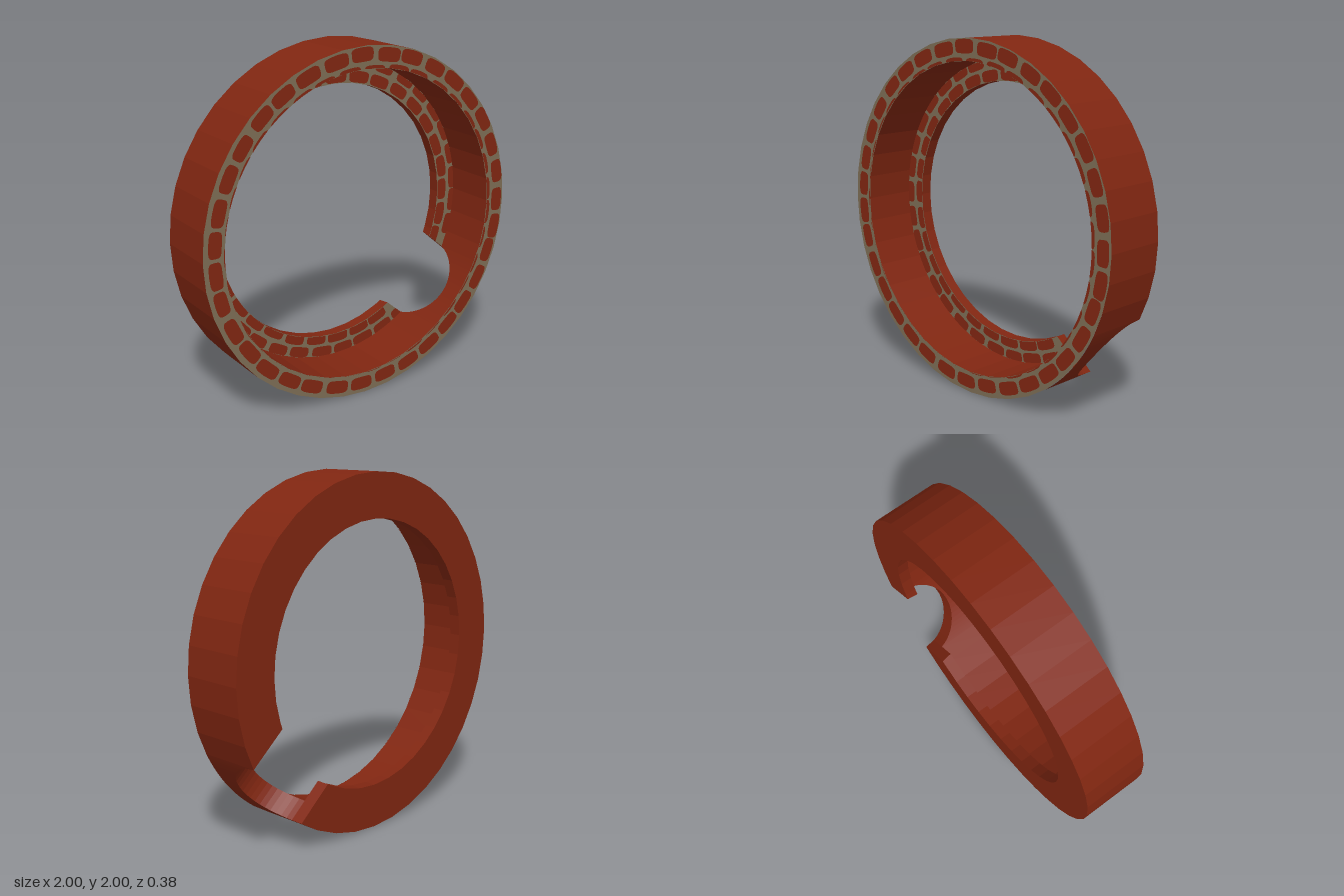
import * as THREE from 'three';
import { mergeGeometries } from 'three/addons/utils/BufferGeometryUtils.js';

const SIDES = 40, STEP = (Math.PI * 2) / SIDES;
const OUTER = 1, WALL = 0.877, LIP = 0.75;        // radii
const FRONT = 0.187, BACK = -0.187, LEDGE = -0.12; // depths
const BORE = 0.25, AXIS = THREE.MathUtils.degToRad(-40.5); // notch radius and direction
const LEDGE_PHI = Math.asin((LEDGE - BACK) / BORE);
const LEDGE_HALF = BORE * Math.cos(LEDGE_PHI);

const point = (r, theta, z) => [r * Math.cos(theta), 1 + r * Math.sin(theta), z];

// Angles around the notch arc, from one back edge to the other
const phis = [0];
for (let i = 0; i <= 20; i++) phis.push(LEDGE_PHI + ((Math.PI - 2 * LEDGE_PHI) * i) / 20);
phis.push(Math.PI);

// Point on the notch arc at radius r
const notchPoint = (r, phi) => point(r, AXIS + Math.asin((-BORE * Math.cos(phi)) / r), BACK + BORE * Math.sin(phi));

// Points around the plain part of the ring, clear of the notch
function plain(r, z) {
  const out = [];
  for (let k = -2; k <= 33; k++) out.push(point(r, k * STEP, z));
  return out;
}

// Closed loop that follows the notch; open loop that stops at its edges
const closedLoop = (r, z, list) => {
  const pts = [...plain(r, z), ...list.map((p) => notchPoint(r, p))];
  return [...pts, pts[0]];
};
const openLoop = (r, z, phi) => [notchPoint(r, Math.PI - phi), ...plain(r, z), notchPoint(r, phi)];
const atDepth = (pts, z) => pts.map((p) => [p[0], p[1], z]);

// Flat-sided strip of quads between two rows of points
function strip(a, b) {
  const pos = [];
  for (let i = 0; i < a.length - 1; i++) {
    pos.push(...a[i], ...a[i + 1], ...b[i + 1], ...a[i], ...b[i + 1], ...b[i]);
  }
  const g = new THREE.BufferGeometry();
  g.setAttribute('position', new THREE.Float32BufferAttribute(pos, 3));
  g.computeVertexNormals();
  return g;
}

function seeded(seed) {
  return () => {
    seed = (seed * 16807) % 2147483647;
    return seed / 2147483647;
  };
}

// One rounded brick face, bent around the ring and trimmed to a radial band
function brickFace(theta, halfAngle, rIn, rOut, min, max, z, notched) {
  const g = new THREE.CircleGeometry(1, 20);
  const p = g.attributes.position;
  const soften = (v) => Math.sign(v) * Math.pow(Math.abs(v), 0.5);
  const side = Math.sign(Math.sin(theta - AXIS));
  for (let i = 0; i < p.count; i++) {
    const t = theta - soften(p.getX(i)) * halfAngle;
    const rr = (rIn + rOut) / 2 + (soften(p.getY(i)) * (rOut - rIn)) / 2;
    // The courses sit very slightly off centre
    let x = rr * Math.cos(t) + 0.008, y = rr * Math.sin(t) + 0.008;
    const k = THREE.MathUtils.clamp(Math.hypot(x, y), min, max) / Math.hypot(x, y);
    x *= k;
    y *= k;
    // Keep ledge bricks out of the notch
    if (notched) {
      const u = x * Math.cos(AXIS) + y * Math.sin(AXIS);
      let v = y * Math.cos(AXIS) - x * Math.sin(AXIS);
      if (u > 0 && Math.abs(v) < LEDGE_HALF) v = side * LEDGE_HALF;
      x = u * Math.cos(AXIS) - v * Math.sin(AXIS);
      y = u * Math.sin(AXIS) + v * Math.cos(AXIS);
    }
    p.setXYZ(i, x, y + 1, z);
  }
  return g;
}

// Three courses of bricks: inner radius, outer radius, count
const COURSES = [[0.905, 0.982, 35], [0.825, 0.888, 35], [0.742, 0.808, 32]];

function bricks(min, max, z, notched) {
  const rand = seeded(77);
  const faces = [];
  COURSES.forEach(([rIn, rOut, count], row) => {
    for (let i = 0; i < count; i++) {
      const pitch = (Math.PI * 2) / count;
      const theta = (i + row * 0.5 + (rand() - 0.5) * 0.12) * pitch;
      const half = pitch * (0.41 + rand() * 0.05);
      const shift = (rand() - 0.5) * 0.008;
      const mid = (rIn + rOut) / 2;
      const inNotch = Math.cos(theta - AXIS) > 0 && Math.abs(mid * Math.sin(theta - AXIS)) < LEDGE_HALF;
      if ((notched && inNotch) || rOut + 0.015 < min || rIn - 0.015 > max) continue;
      faces.push(brickFace(theta, half, rIn + shift, rOut + shift, min, max, z, notched));
    }
  });
  return mergeGeometries(faces);
}

export function createModel() {
  const brick = new THREE.MeshStandardMaterial({ color: 0x802611 });
  brick.name = 'brick red';
  const mortar = new THREE.MeshStandardMaterial({ color: 0x7c6c54 });
  mortar.name = 'mortar grey';

  const model = new THREE.Group();
  model.name = 'notchedRing';
  const add = (name, geometry, material) => {
    const mesh = new THREE.Mesh(geometry, material);
    mesh.name = name;
    model.add(mesh);
  };

  const arc = phis.slice(1, -1);
  const outerLow = closedLoop(OUTER, BACK, phis);
  const wallLow = closedLoop(WALL, LEDGE, arc);
  const wallHigh = atDepth(wallLow, FRONT);

  // Ring walls
  add('outerWall', strip(outerLow, atDepth(outerLow, FRONT)), brick);
  add('innerWall', strip(wallHigh, wallLow), brick);
  add('lipEdge', strip(openLoop(LIP, LEDGE, LEDGE_PHI), openLoop(LIP, BACK, 0)), brick);
  add('backFace', strip(openLoop(LIP, BACK, 0), openLoop(OUTER, BACK, 0)), brick);

  // Round notch cut through the back of the ring
  const bore = (list, r) => strip(list.map((p) => notchPoint(r, p)), list.map((p) => notchPoint(OUTER, p)));
  add('notch', mergeGeometries([bore(arc, WALL), bore(phis.slice(0, 2), LIP), bore(phis.slice(-2), LIP)]), brick);

  // Mortar faces
  const rimOuter = [], rimInner = [];
  for (let k = 0; k <= SIDES; k++) {
    rimOuter.push(point(OUTER, k * STEP, FRONT));
    rimInner.push(point(WALL, k * STEP, FRONT));
  }
  add('rimMortar', strip(rimOuter, rimInner), mortar);
  add('ledgeMortar', strip(openLoop(WALL, LEDGE, LEDGE_PHI), openLoop(LIP, LEDGE, LEDGE_PHI)), mortar);

  // Brick faces laid on the mortar
  add('rimBricks', bricks(WALL, 0.996, FRONT + 0.003, false), brick);
  add('ledgeBricks', bricks(LIP, 0.874, LEDGE + 0.003, true), brick);
  return model;
}
